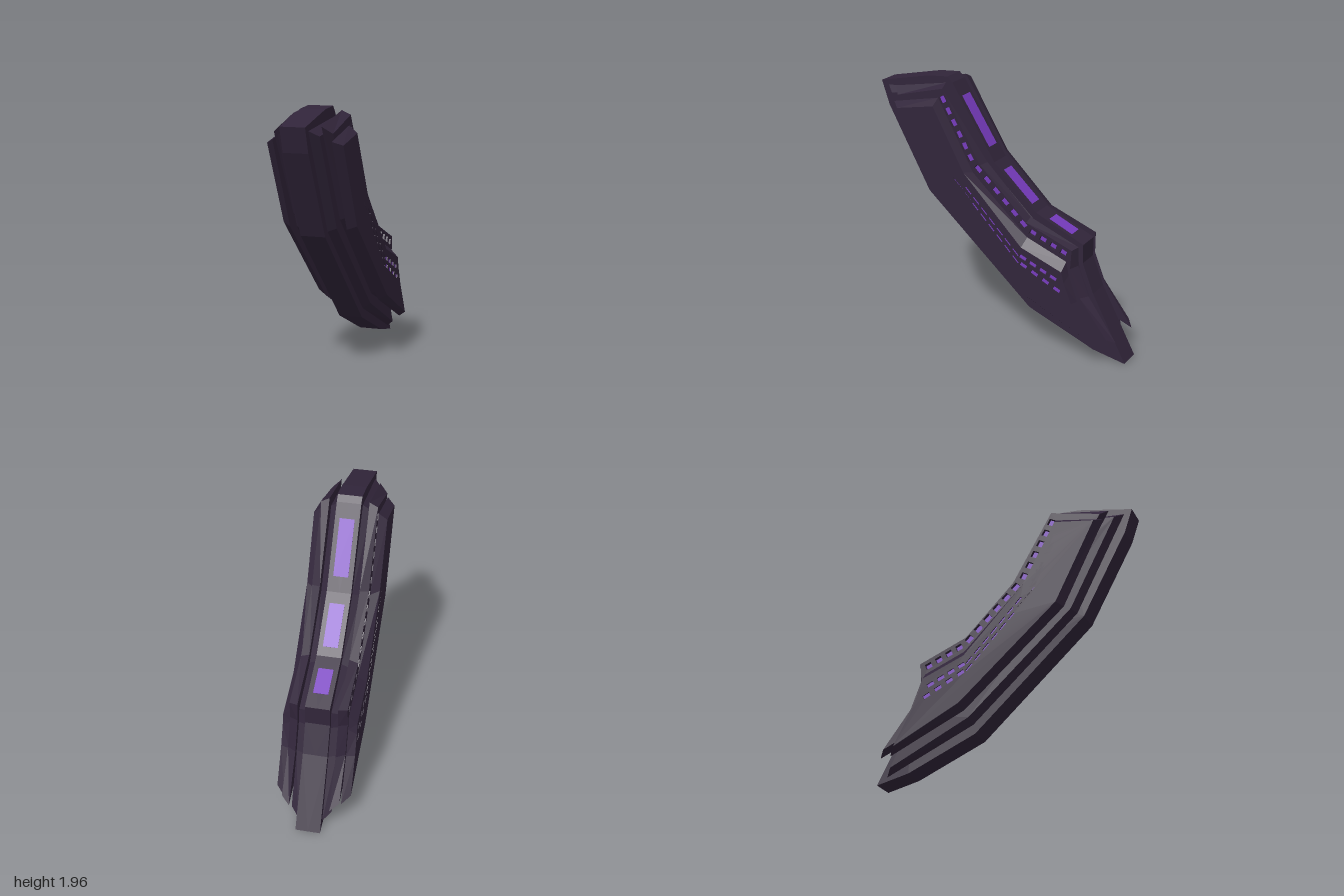
import * as THREE from 'three';

const hull = new THREE.MeshStandardMaterial({ color: 0x31253a });
hull.name = 'dark hull';
const glow = new THREE.MeshStandardMaterial({ color: 0x763bbd });
glow.name = 'purple glow';

// Profiles are [z, y] points running from the upper front, down the keel, up the tail and along the ridge.
const core = [[1, 1.87], [0.94, 1.69], [0.61, 1.07], [-0.23, 0.29], [-0.75, 0.06], [-1, 0], [-0.74, 0.5],
  [-0.655, 0.72], [-0.655, 0.86], [-0.28, 1.04], [0.06, 1.37], [0.4, 1.92], [0.44, 1.96], [0.6, 1.95]];
const innerPlate = [
  [[0.94, 1.84], [0.56, 1.1], [-0.245, 0.36], [-0.92, 0.05], [-0.71, 0.48],
    [-0.63, 0.68], [-0.61, 0.8], [-0.27, 0.98], [0.1, 1.34], [0.46, 1.88]],
  [[0.88, 1.8], [0.53, 1.12], [-0.26, 0.4], [-0.87, 0.1], [-0.69, 0.48],
    [-0.61, 0.68], [-0.59, 0.78], [-0.26, 0.95], [0.13, 1.32], [0.47, 1.84]]];
const windowPlate = [
  [[0.84, 1.86], [0.46, 1.17], [-0.28, 0.47], [-0.95, 0.18], [-0.73, 0.5],
    [-0.645, 0.72], [-0.645, 0.86], [-0.265, 1.025], [0.085, 1.385], [0.42, 1.93]],
  [[0.79, 1.81], [0.43, 1.19], [-0.29, 0.5], [-0.9, 0.22], [-0.69, 0.5],
    [-0.61, 0.71], [-0.62, 0.85], [-0.26, 1.0], [0.11, 1.375], [0.415, 1.9]]];
const outerPlate = [
  [[0.82, 1.76], [0.5, 1.11], [-0.265, 0.43], [-0.84, 0.16], [-0.67, 0.47],
    [-0.6, 0.66], [-0.58, 0.76], [-0.27, 0.89], [0.17, 1.31], [0.45, 1.83]],
  [[0.76, 1.73], [0.46, 1.13], [-0.28, 0.47], [-0.79, 0.21], [-0.65, 0.47],
    [-0.59, 0.62], [-0.57, 0.7], [-0.25, 0.83], [0.215, 1.32], [0.46, 1.78]]];

// Row of rectangular openings with centres from a to b, given length along and width across the row
function row(a, b, count, length, width) {
  const dz = b[0] - a[0], dy = b[1] - a[1], d = Math.hypot(dz, dy);
  const u = [dz / d * length / 2, dy / d * length / 2], n = [dy / d * width / 2, -dz / d * width / 2];
  return Array.from({ length: count }, (_, i) => {
    const t = i / (count - 1), c = [a[0] + dz * t, a[1] + dy * t];
    const quad = [[-1, -1], [1, -1], [1, 1], [-1, 1]].map(([p, q]) =>
      [c[0] + p * u[0] + q * n[0], c[1] + p * u[1] + q * n[1]]);
    const flat = quad.map(([z, y]) => new THREE.Vector2(-z, y));
    return THREE.ShapeUtils.isClockWise(flat) ? quad.reverse() : quad;
  });
}

function meshFrom(positions, material, name) {
  const geometry = new THREE.BufferGeometry();
  geometry.setAttribute('position', new THREE.Float32BufferAttribute(positions, 3));
  geometry.computeVertexNormals();
  const mesh = new THREE.Mesh(geometry, material);
  mesh.name = name;
  return mesh;
}

// Bevelled slab between two profiles, with recessed glowing openings in its outer face
function slab(name, side, [inner, outer], x0, x1, holes = [], depth = 0.01) {
  const body = [], lit = [];
  const tri = (out, x, p, flip) => {
    const order = (side < 0) !== !!flip ? [0, 2, 1] : [0, 1, 2];
    for (const i of order) out.push(side * x[i], p[i][1], p[i][0]);
  };
  const quad = (out, x, p, flip) => {
    tri(out, [x[0], x[1], x[2]], [p[0], p[1], p[2]], flip);
    tri(out, [x[0], x[2], x[3]], [p[0], p[2], p[3]], flip);
  };
  const flat = (list) => list.map(([z, y]) => new THREE.Vector2(-z, y));
  const cap = (profile, x, openings, flip) => {
    const all = [profile, ...openings].flat();
    const faces = THREE.ShapeUtils.triangulateShape(flat(profile), openings.map(flat));
    for (const f of faces) {
      const p = f.map((i) => all[i]);
      tri(body, [x, x, x], p, flip !== THREE.ShapeUtils.isClockWise(flat(p)));
    }
  };
  cap(outer, x1, holes, false);
  cap(inner, x0, [], true);
  inner.forEach((p, i) => {
    const j = (i + 1) % inner.length;
    quad(body, [x0, x0, x1, x1], [p, inner[j], outer[j], outer[i]]);
  });
  const floor = x1 - depth;
  for (const hole of holes) {
    hole.forEach((p, i) => {
      const q = hole[(i + 1) % 4];
      quad(body, [floor, floor, x1, x1], [p, q, q, p], true);
    });
    quad(lit, [floor, floor, floor, floor], hole);
  }
  const group = new THREE.Group();
  group.name = name;
  group.add(meshFrom(body, hull, name + 'Body'));
  if (lit.length) group.add(meshFrom(lit, glow, name + 'Windows'));
  return group;
}

export function createModel() {
  const model = new THREE.Group();
  model.name = 'curvedHull';

  const windows = [
    ...row([0.415, 1.82], [0.195, 1.417], 6, 0.05, 0.05),
    ...row([0.13, 1.34], [-0.233, 0.984], 6, 0.055, 0.05),
    ...row([-0.313, 0.93], [-0.554, 0.824], 4, 0.05, 0.045)];
  const slits = [
    ...row([0.47, 1.715], [0.27, 1.305], 7, 0.055, 0.013),
    ...row([0.505, 1.715], [0.29, 1.267], 7, 0.055, 0.013),
    ...row([0.24, 1.257], [-0.205, 0.785], 8, 0.065, 0.014),
    ...row([0.25, 1.215], [-0.205, 0.73], 8, 0.065, 0.014),
    ...row([-0.265, 0.754], [-0.506, 0.645], 4, 0.055, 0.03),
    ...row([-0.27, 0.695], [-0.535, 0.56], 4, 0.055, 0.03)];

  // Stepped armour layers on both sides
  for (const [label, side] of [['left', 1], ['right', -1]]) {
    model.add(slab(label + 'Core', side, [core, core], 0, 0.09));
    model.add(slab(label + 'InnerPlate', side, innerPlate, 0.09, 0.147));
    model.add(slab(label + 'WindowPlate', side, windowPlate, 0.147, 0.21, windows, 0.025));
    model.add(slab(label + 'OuterPlate', side, outerPlate, 0.21, 0.272, slits, 0.008));
  }

  // Glowing panels along the ridge: ridge segment ends, then start and end z
  const panels = [[8, 9, -0.55, -0.37], [9, 10, -0.23, 0], [10, 11, 0.12, 0.34]];
  for (const [i, j, za, zb] of panels) {
    const [a, b] = [core[i], core[j]];
    const slope = (b[1] - a[1]) / (b[0] - a[0]);
    const zm = (za + zb) / 2;
    const panel = new THREE.Mesh(
      new THREE.BoxGeometry(0.11, 0.006, (zb - za) * Math.hypot(1, slope)), glow);
    panel.position.set(0, a[1] + slope * (zm - a[0]), zm);
    panel.rotation.x = -Math.atan(slope);
    panel.name = 'ridgePanel';
    model.add(panel);
  }
  return model;
}
